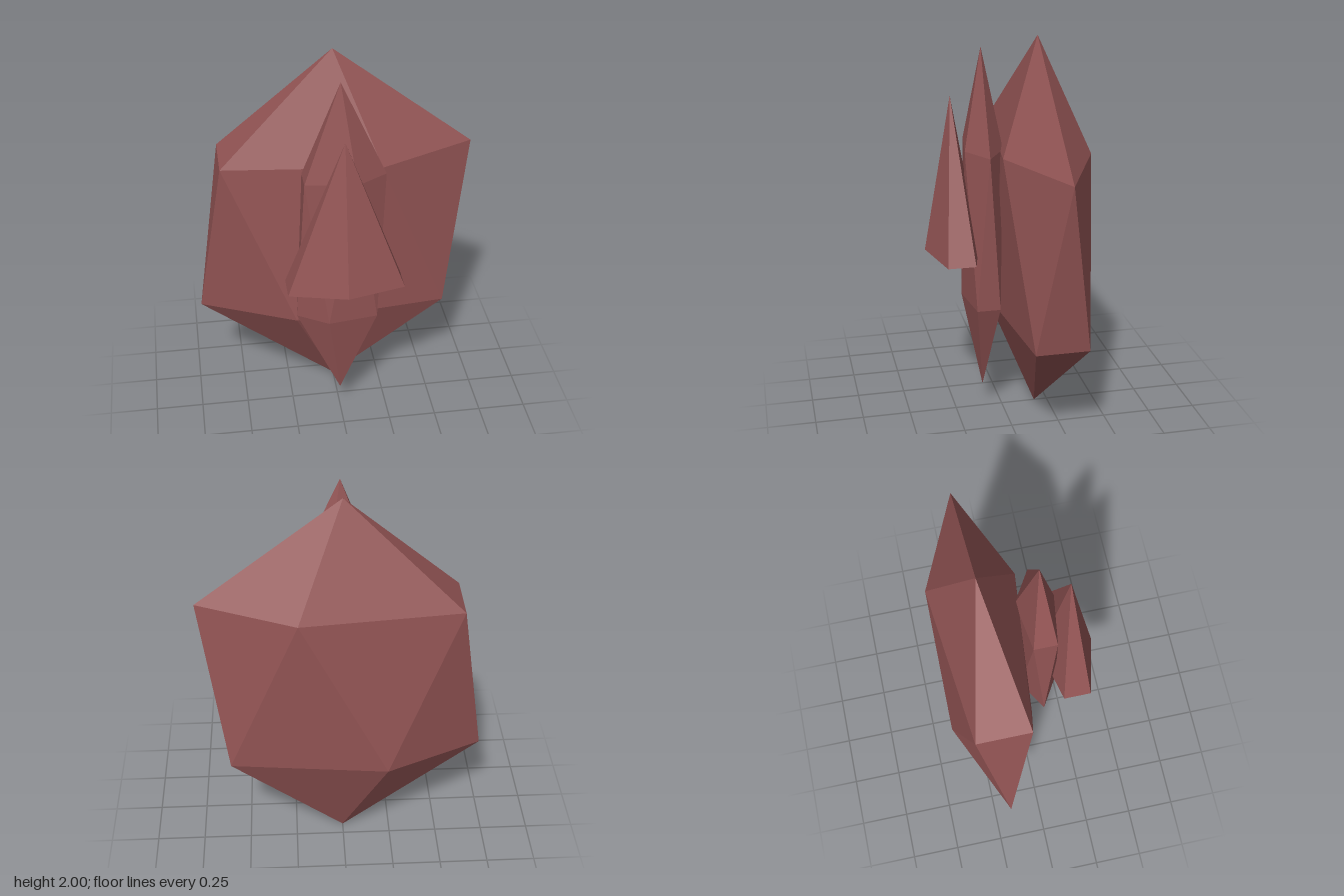
import * as THREE from 'three';

// Icosahedral crystal standing on a point: two five-sided rings between two tips
function crystalGeometry(rx, ry, rz) {
  const ringY = 1 / Math.sqrt(5), ringR = 2 / Math.sqrt(5);
  const point = (step, y) => {
    const a = (step * Math.PI) / 5;
    return [ringR * Math.cos(a), y, ringR * Math.sin(a)];
  };
  const top = [0, 1, 0], bottom = [0, -1, 0];
  const positions = [];
  const face = (...corners) => corners.forEach((c) => positions.push(...c));
  for (let i = 0; i < 5; i++) {
    const u0 = point(2 * i, ringY), u1 = point(2 * i + 2, ringY);
    const l0 = point(2 * i + 1, -ringY), l1 = point(2 * i + 3, -ringY);
    face(top, u1, u0);
    face(u0, u1, l0);
    face(u1, l1, l0);
    face(bottom, l0, l1);
  }
  const geometry = new THREE.BufferGeometry();
  geometry.setAttribute('position', new THREE.Float32BufferAttribute(positions, 3));
  geometry.scale(rx, ry, rz);
  geometry.computeVertexNormals();
  return geometry;
}

export function createModel() {
  const model = new THREE.Group();
  model.name = 'crystalCluster';

  const stone = new THREE.MeshStandardMaterial({ color: 0x945555 });
  stone.name = 'dustyRed';
  stone.flatShading = true;

  const add = (name, geometry, x, y, z) => {
    const mesh = new THREE.Mesh(geometry, stone);
    mesh.name = name;
    mesh.position.set(x, y, z);
    model.add(mesh);
  };

  // Broad flattened body at the back
  add('largeCrystal', crystalGeometry(0.8, 1, 0.26), 0, 1, -0.18);

  // Slim crystal in the middle
  add('slimCrystal', crystalGeometry(0.255, 0.912, 0.113), 0, 1.043, 0.105);

  // Flattened six-sided spike at the front
  const spike = new THREE.ConeGeometry(1, 0.795, 6);
  spike.scale(0.337, 1, 0.14);
  add('frontSpike', spike, 0, 0.925 + 0.795 / 2, 0.26);

  return model;
}
